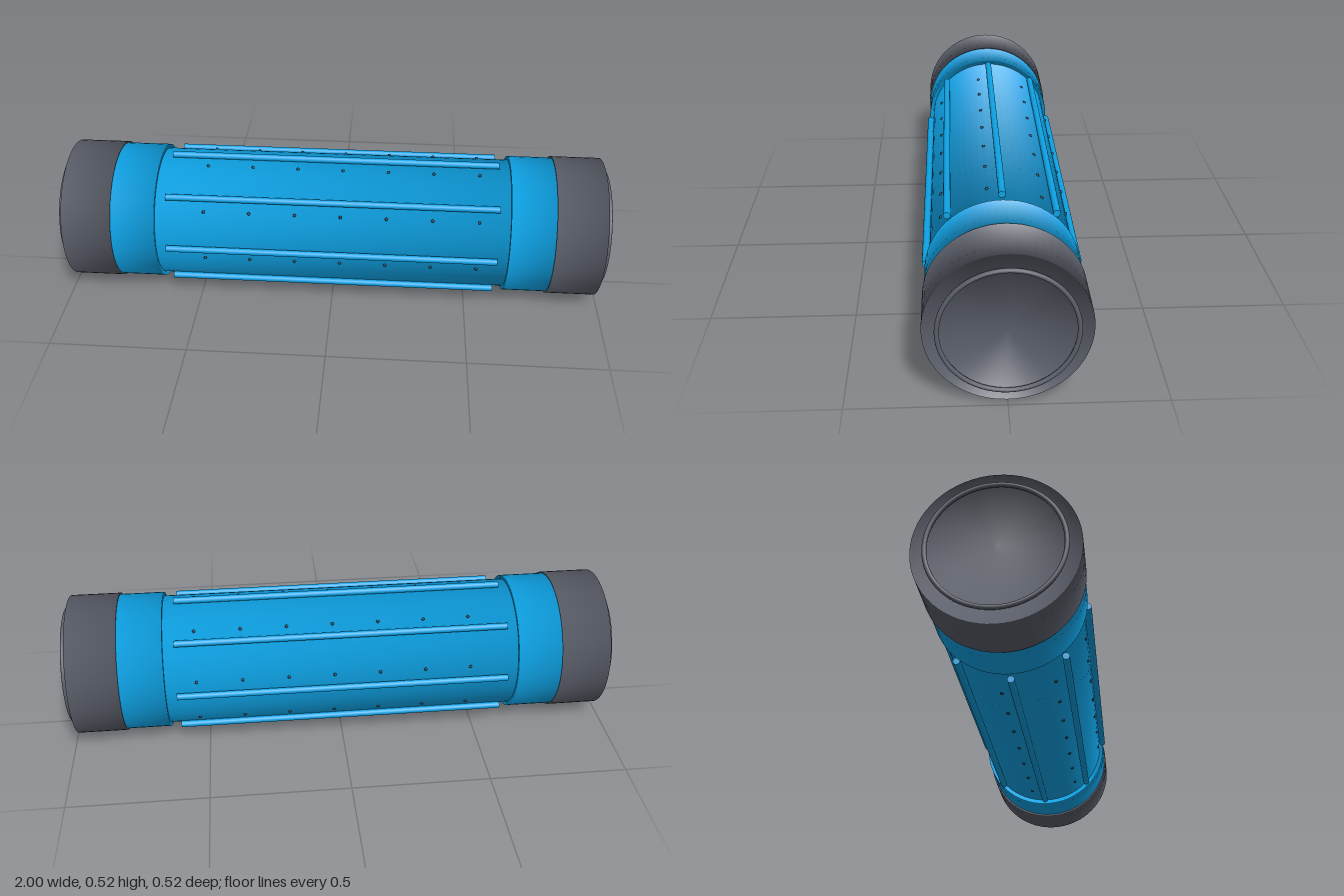
import * as THREE from 'three';

const CENTRE_Y = 0.262;
const BODY_RADIUS = 0.238;

// Cylinder lying along x, shaded softly across its rims
function softCylinder(radius, length) {
  const g = new THREE.CylinderGeometry(radius, radius, length, 64);
  const p = g.attributes.position, n = g.attributes.normal;
  const v = new THREE.Vector3();
  for (let i = 0; i < p.count; i++) {
    const end = Math.sign(p.getY(i));
    const onCap = Math.abs(n.getY(i)) > 0.5;
    const s = onCap ? -1 : 1;
    v.set(s * p.getX(i) / radius, -s * end, s * p.getZ(i) / radius).normalize();
    n.setXYZ(i, v.x, v.y, v.z);
  }
  return g.rotateZ(-Math.PI / 2);
}

export function createModel() {
  const blue = new THREE.MeshStandardMaterial({ color: 0x0ea5e9 });
  blue.name = 'bright blue';
  const grey = new THREE.MeshStandardMaterial({ color: 0x5a5e69 });
  grey.name = 'slate grey';
  const dark = new THREE.MeshStandardMaterial({ color: 0x1f3a4d });
  dark.name = 'dark blue';

  const model = new THREE.Group();
  model.name = 'ribbedCylinder';
  const add = (parent, name, geometry, material, x = 0, y = 0, z = 0) => {
    const mesh = new THREE.Mesh(geometry, material);
    mesh.name = name;
    mesh.position.set(x, y, z);
    parent.add(mesh);
    return mesh;
  };

  // Main tube
  add(model, 'body', softCylinder(BODY_RADIUS, 1.28), blue, 0, CENTRE_Y);

  // Collar, end cap and rim ring on each end
  const collar = softCylinder(0.252, 0.16);
  const cap = softCylinder(0.257, 0.18);
  const ring = new THREE.TorusGeometry(0.211, 0.0075, 12, 64).rotateY(Math.PI / 2);
  for (const side of [1, -1]) {
    const end = new THREE.Group();
    end.name = side > 0 ? 'leftEnd' : 'rightEnd';
    end.position.y = CENTRE_Y;
    add(end, 'collar', collar, blue, side * 0.72);
    add(end, 'endCap', cap, grey, side * 0.89);
    add(end, 'rimRing', ring, grey, side * 0.9925);
    model.add(end);
  }

  // Eight grip ribs, with a row of small studs between each pair
  const rib = new THREE.CylinderGeometry(0.012, 0.012, 1.2, 16).rotateZ(Math.PI / 2);
  const stud = new THREE.SphereGeometry(0.006, 10, 8);
  const ribs = new THREE.Group();
  ribs.name = 'gripRibs';
  const studs = new THREE.Group();
  studs.name = 'studs';
  ribs.position.y = studs.position.y = CENTRE_Y;
  model.add(ribs, studs);
  for (let i = 0; i < 8; i++) {
    const a = i * Math.PI / 4;
    add(ribs, 'rib', rib, blue, 0, 0.25 * Math.sin(a), 0.25 * Math.cos(a));
    const b = a + THREE.MathUtils.degToRad(33.75);
    for (let j = 0; j < 7; j++) {
      add(studs, 'stud', stud, dark, -0.462 + j * 0.165,
        BODY_RADIUS * Math.sin(b), BODY_RADIUS * Math.cos(b));
    }
  }
  return model;
}
